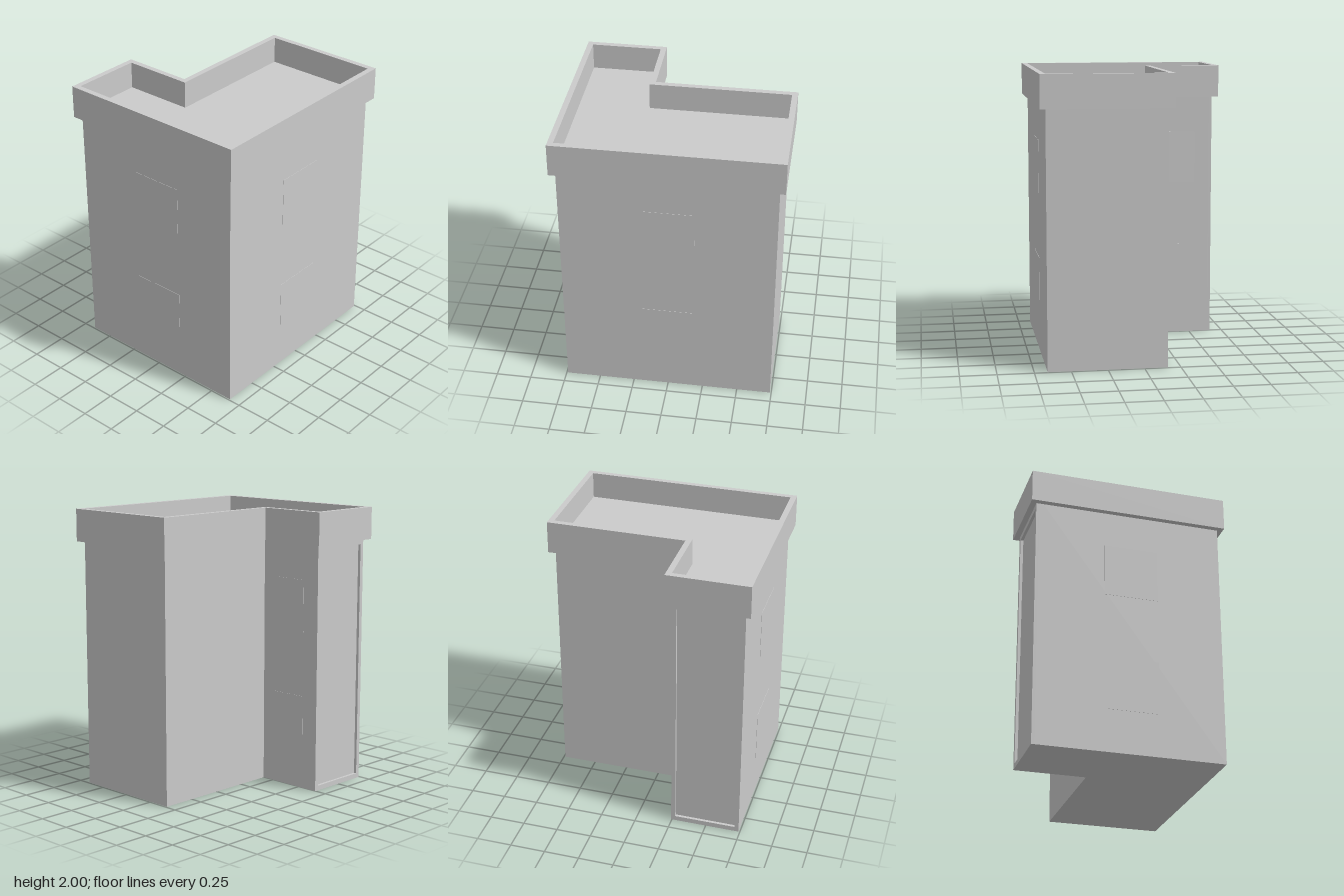
import * as THREE from 'three';

const material = new THREE.MeshStandardMaterial({ color: 0xcccccc, flatShading: true });

// L-shaped plan grown outwards by g; shape y is -z. "back" is the rear edge of the wing.
function planPoints(g, back = 0.66) {
  return [
    [-0.74 - g, -0.66 - g], [0.74 + g, -0.66 - g], [0.74 + g, 0.16 + g],
    [-0.245 + g, 0.16 + g], [-0.245 + g, back + g], [-0.74 - g, back + g],
  ].map(([x, y]) => new THREE.Vector2(x, y));
}

// Upright prism from a plan shape
function prism(shape, y0, y1) {
  return new THREE.ExtrudeGeometry(shape, { depth: y1 - y0, bevelEnabled: false })
    .rotateX(-Math.PI / 2).translate(0, y0, 0);
}

export function createModel() {
  const group = new THREE.Group();
  const add = (name, geometry) => {
    const mesh = new THREE.Mesh(geometry, material);
    mesh.name = name;
    group.add(mesh);
    return mesh;
  };

  const roofY = 1.81;
  const recess = 0.02;

  // Tower body with the flat roof inside the parapet
  add('body', prism(new THREE.Shape(planPoints(0, 0.66 - recess)), 0, roofY));

  // Raised border around the sunken panel on the rear of the wing
  const border = new THREE.Shape([
    [-0.74, 0], [-0.245, 0], [-0.245, roofY], [-0.74, roofY],
  ].map(p => new THREE.Vector2(...p)));
  border.holes.push(new THREE.Path([
    [-0.71, 0.035], [-0.71, 1.735], [-0.275, 1.735], [-0.275, 0.035],
  ].map(p => new THREE.Vector2(...p))));
  add('rearPanelBorder', new THREE.ExtrudeGeometry(border, { depth: recess, bevelEnabled: false })
    .translate(0, 0, -0.66));

  // Overhanging parapet ring
  const ring = new THREE.Shape(planPoints(0.04));
  ring.holes.push(new THREE.Path(planPoints(0).reverse()));
  add('parapet', prism(ring, 1.77, 2));

  // Nearly flush window panels, two storeys on three walls
  const thin = 0.004;
  const walls = [
    { name: 'frontWindow', x: 0, z: 0.66, w: 0.375, d: thin },
    { name: 'sideWindow', x: -0.74, z: 0.015, w: thin, d: 0.375 },
    { name: 'wingWindow', x: -0.245, z: -0.4, w: thin, d: 0.265 },
  ];
  for (const { name, x, z, w, d } of walls) {
    for (const y of [0.488, 1.325]) {
      add(name, new THREE.BoxGeometry(w, 0.375, d)).position.set(x, y, z);
    }
  }
  return group;
}
